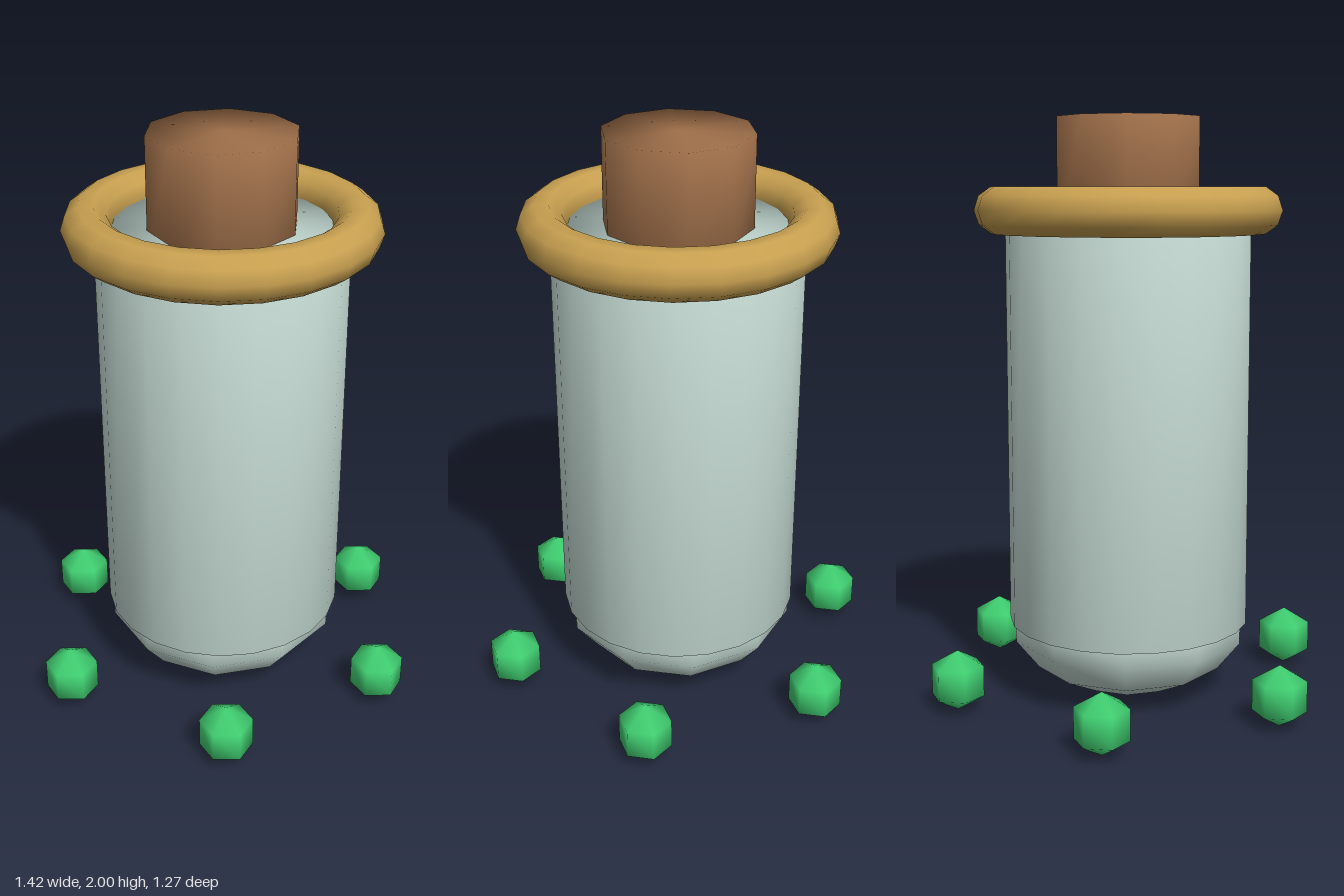
import * as THREE from 'three';
import { mergeVertices } from 'three/addons/utils/BufferGeometryUtils.js';

const material = (name, color) => {
  const m = new THREE.MeshStandardMaterial({ color });
  m.name = name;
  return m;
};

// Welds rims so shading runs smoothly across every edge.
function weld(geometry) {
  geometry.deleteAttribute('normal');
  geometry.deleteAttribute('uv');
  const welded = mergeVertices(geometry, 1e-4);
  welded.computeVertexNormals();
  return welded;
}

export function createModel() {
  const model = new THREE.Group();
  model.name = 'bottle';

  const glass = material('pale glass', 0xc8ded6);
  const brass = material('brass', 0xc8a050);
  const cork = material('cork brown', 0xa0704a);
  const green = material('bright green', 0x42d474);

  const add = (name, geometry, mat, x, y, z) => {
    const mesh = new THREE.Mesh(geometry, mat);
    mesh.name = name;
    mesh.position.set(x, y, z);
    model.add(mesh);
    return mesh;
  };

  // Glass body with a flattened round base
  add('glassBody', weld(new THREE.CylinderGeometry(0.42, 0.42, 1.43, 22)), glass, 0, 0.975, 0);
  const base = new THREE.SphereGeometry(0.42, 10, 7).rotateY(Math.PI / 2).scale(1, 0.6, 1);
  add('roundBase', weld(base), glass, 0, 0.257, 0);

  // Rim ring and stopper
  const ring = new THREE.TorusGeometry(0.443, 0.082, 10, 22).rotateX(Math.PI / 2).rotateY(Math.PI / 2);
  add('rimRing', weld(ring), brass, 0, 1.69, 0);
  add('stopper', weld(new THREE.CylinderGeometry(0.25, 0.25, 0.4, 10)), cork, 0, 1.8, 0);

  // Six beads around the base
  const bead = weld(new THREE.SphereGeometry(0.105, 6, 3).rotateY(Math.PI / 2));
  for (let i = 0; i < 6; i++) {
    const a = (i * Math.PI) / 3;
    add('bead' + (i + 1), bead, green, 0.63 * Math.cos(a), 0.107, 0.63 * Math.sin(a));
  }
  return model;
}
